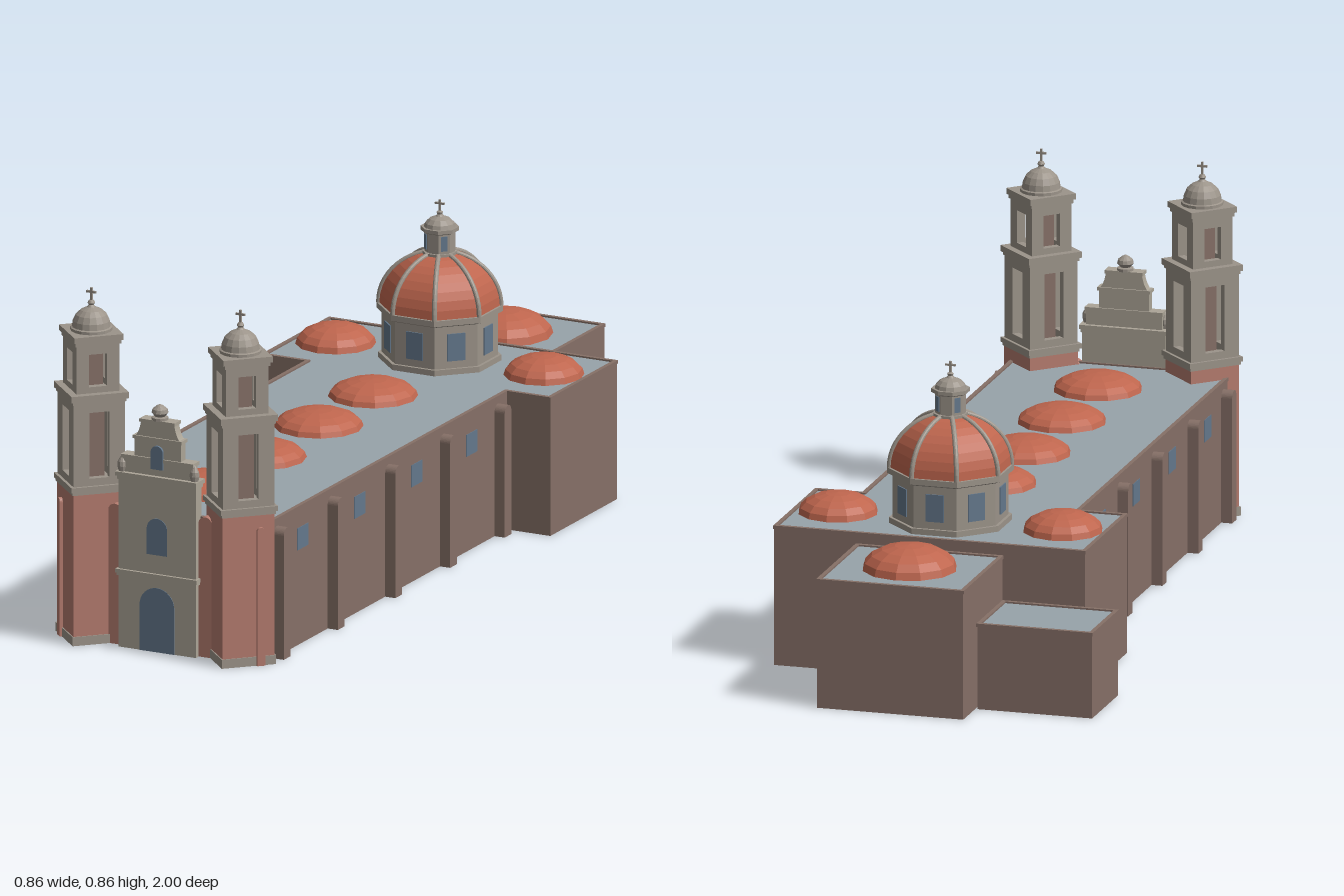
import * as THREE from 'three';

const mat = (name, color, opts = {}) => {
  const m = new THREE.MeshStandardMaterial({ color, ...opts });
  m.name = name;
  return m;
};

export function createModel() {
  const root = new THREE.Group();
  root.name = 'church';
  const church = new THREE.Group();
  church.name = 'building';
  church.position.x = 0.0425; // the nave axis lies off centre because of the annex
  root.add(church);

  const flat = { flatShading: true };
  const brown = mat('brown wall', 0x867067);
  const red = mat('red tower wall', 0xb57c6f, flat);
  const stone = mat('grey stone', 0x9c948a, flat);
  const pale = mat('pale facade stone', 0xaca597);
  const tile = mat('terracotta dome', 0xbf664e, flat);
  const roofGrey = mat('roof grey', 0x98a3aa, { side: THREE.DoubleSide });
  const blue = mat('blue window', 0x64788c);

  const add = (parent, name, geo, m, x = 0, y = 0, z = 0) => {
    const mesh = new THREE.Mesh(geo, m);
    mesh.name = name;
    mesh.position.set(x, y, z);
    parent.add(mesh);
    return mesh;
  };
  const group = (name, parent, x = 0, y = 0, z = 0) => {
    const g = new THREE.Group();
    g.name = name;
    g.position.set(x, y, z);
    parent.add(g);
    return g;
  };
  // box given by its base height and top height
  const block = (parent, name, m, w, y0, y1, d, x = 0, z = 0) =>
    add(parent, name, new THREE.BoxGeometry(w, y1 - y0, d), m, x, (y0 + y1) / 2, z);
  // plan outline, turned counter-clockwise
  const poly = pts => new THREE.Shape(pts.map(([x, z]) => new THREE.Vector2(x, -z)).reverse());
  const extrude = (shape, depth) =>
    new THREE.ExtrudeGeometry(shape, { depth, bevelEnabled: false, curveSegments: 8 });
  // thin walls, open below, around an outline that can be inset by t
  const walls = (parent, name, m, outline, y0, y1, out = 0, t = 0.008) => {
    const s = poly(outline(-out));
    s.holes.push(poly(outline(t)));
    return add(parent, name, extrude(s, y1 - y0).rotateX(-Math.PI / 2), m, 0, y0, 0);
  };
  const roof = (parent, name, outline, y) =>
    add(parent, name, new THREE.ShapeGeometry(poly(outline(0.004))).rotateX(-Math.PI / 2), roofGrey, 0, y, 0);
  const rect = (x0, x1, z0, z1) => t =>
    [[x0 + t, z0 + t], [x1 - t, z0 + t], [x1 - t, z1 - t], [x0 + t, z1 - t]];
  // round-headed upright, facing +z, from its foot
  const arch = (w, h, depth) => {
    const s = new THREE.Shape();
    s.moveTo(-w / 2, 0);
    s.lineTo(w / 2, 0);
    s.lineTo(w / 2, h - w / 2);
    s.absarc(0, h - w / 2, w / 2, 0, Math.PI, false);
    s.closePath();
    return extrude(s, depth);
  };
  const lathe = (pts, n = 16) => new THREE.LatheGeometry(pts.map(p => new THREE.Vector2(...p)), n);
  const cross = (parent, y, h) => {
    block(parent, 'crossPost', stone, 0.005, y, y + h, 0.005);
    block(parent, 'crossArm', stone, 0.025, y + h * 0.62, y + h * 0.77, 0.005);
  };

  // Nave with transept, apse and annex, each with a coping
  const nx = 0.267, tx = 0.383;
  const cruciform = t => [
    [-tx + t, -0.67 + t], [tx - t, -0.67 + t], [tx - t, -0.33 - t], [nx - t, -0.33 - t],
    [nx - t, 0.913 - t], [-nx + t, 0.913 - t], [-nx + t, -0.33 - t], [-tx + t, -0.33 - t]];
  const rooms = [['nave', cruciform, 0.342], ['apse', rect(-0.182, 0.178, -0.998, -0.677), 0.316],
    ['annex', rect(-0.47, -0.187, -0.9, -0.69), 0.21]];
  for (const [name, outline, h] of rooms) {
    walls(church, name + 'Walls', brown, outline, 0, h - 0.008);
    walls(church, name + 'Coping', brown, outline, h - 0.008, h, 0.002);
    roof(church, name + 'Roof', outline, h - 0.004);
  }

  // Shallow roof domes
  const capDome = (x, z, r, y, h) => add(church, 'roofDome',
    new THREE.SphereGeometry(r, 12, 5, 0, Math.PI * 2, 0, Math.PI / 2).scale(1, h / r, 1), tile, x, y, z);
  for (const z of [-0.16, 0.118, 0.407, 0.7]) capDome(0, z, 0.107, 0.337, 0.043);
  for (const s of [-1, 1]) capDome(s * 0.277, -0.5, 0.096, 0.337, 0.05);
  capDome(0, -0.833, 0.114, 0.311, 0.06);

  // Buttresses and side windows
  for (const s of [-1, 1]) {
    for (const z of [0.84, 0.565, 0.272, -0.007, -0.285])
      add(church, 'buttress', arch(0.034, 0.322, 0.027), brown, s * nx, 0, z).rotation.y = s * Math.PI / 2;
    for (const z of [0.71, 0.42, 0.13, -0.15])
      block(church, 'sideWindow', blue, 0.003, 0.234, 0.288, 0.056, s * nx, z);
  }

  // Octagonal crossing dome with drum, ribs and lantern
  const dome = group('crossingDome', church, 0, 0, -0.5);
  const oct = (name, m, pts) => add(dome, name, lathe(pts, 8).rotateY(Math.PI / 8), m);
  oct('drum', stone, [[0.146, 0.337], [0.146, 0.352], [0.138, 0.352], [0.138, 0.455],
    [0.15, 0.46], [0.15, 0.474], [0.13, 0.476]]);
  const curve = a => [0.145 * Math.cos(a), 0.474 + 0.131 * Math.sin(a)];
  const arc = Array.from({ length: 9 }, (_, i) => curve(i / 8 * 1.33));
  oct('domeShell', tile, arc);
  oct('lantern', stone, [[0.043, 0.592], [0.043, 0.605], [0.037, 0.605], [0.037, 0.652],
    [0.046, 0.656], [0.046, 0.665], [0, 0.665]]);
  add(dome, 'lanternCap', lathe([[0.038, 0.664], [0.035, 0.674], [0.025, 0.684], [0.01, 0.69],
    [0.006, 0.695], [0.008, 0.7], [0, 0.705]], 12), stone);
  cross(dome, 0.7, 0.03);
  const ribPath = new THREE.CatmullRomCurve3(arc.map(([r, y]) => new THREE.Vector3(0, y, r)));
  for (let i = 0; i < 8; i++) {
    add(dome, 'rib', new THREE.TubeGeometry(ribPath, 12, 0.006, 12), stone)
      .rotation.y = (i + 0.5) * Math.PI / 4;
    const side = group('drumSide', dome);
    side.rotation.y = i * Math.PI / 4;
    const c = Math.cos(Math.PI / 8);
    block(side, 'drumWindow', blue, 0.044, 0.37, 0.437, 0.006, 0, 0.138 * c);
    if (i % 2) block(side, 'lanternWindow', blue, 0.016, 0.612, 0.648, 0.004, 0, 0.037 * c);
  }

  // Bell towers, set diagonally
  const R2 = Math.SQRT2;
  const makeTower = s => {
    const tower = group(s < 0 ? 'rightTower' : 'leftTower', church, s * 0.1985, 0, 0.895);
    const body = group('towerBody', tower);
    body.rotation.y = Math.PI / 4;
    const square = d => rect(-d / R2, d / R2, -d / R2, d / R2);
    walls(body, 'towerFoot', stone, square(0.095), 0, 0.022);
    walls(body, 'towerShaft', red, square(0.091), 0.02, 0.372);
    const slab = (name, d, y0, y1) => block(body, name, stone, d * R2, y0, y1, d * R2);
    slab('shaftCornice', 0.095, 0.37, 0.378);
    slab('shaftCornice', 0.1, 0.378, 0.39);
    slab('belfryCornice', 0.094, 0.592, 0.6);
    slab('belfryCornice', 0.1, 0.6, 0.615);
    slab('upperCornice', 0.08, 0.732, 0.742);
    slab('upperCornice', 0.086, 0.742, 0.756);
    // pierced walls of the two belfry storeys around a brown core
    const storey = (name, d, y0, y1, w, o0, o1) => {
      const side = d * R2, t = 0.017;
      const p = new THREE.Shape([[-side / 2, y0], [side / 2, y0], [side / 2, y1], [-side / 2, y1]]
        .map(v => new THREE.Vector2(...v)));
      p.holes.push(new THREE.Path([[-w / 2, o0], [-w / 2, o1], [w / 2, o1], [w / 2, o0]]
        .map(v => new THREE.Vector2(...v))));
      const geo = extrude(p, t).translate(0, 0, side / 2 - t);
      for (let i = 0; i < 4; i++) add(body, name, geo, stone).rotation.y = i * Math.PI / 2;
      block(body, name + 'Core', brown, w, y0, y1, w);
    };
    storey('lowerBelfry', 0.09, 0.388, 0.594, 0.05, 0.408, 0.57);
    storey('upperBelfry', 0.075, 0.613, 0.734, 0.044, 0.63, 0.71);
    add(tower, 'towerDome', lathe([[0.05, 0.755], [0.05, 0.763], [0.046, 0.765], [0.044, 0.779], [0.037, 0.794],
      [0.025, 0.805], [0.01, 0.812], [0.006, 0.817], [0.009, 0.822], [0.006, 0.828], [0, 0.83]]), stone);
    cross(tower, 0.825, 0.034);
    // narrow strip on the outer front face
    const strip = add(tower, 'towerStrip', arch(0.02, 0.34, 0.008), red, s * 0.066, 0, 0.025);
    strip.rotation.y = s * Math.PI / 4;
    // red upright between tower and facade
    add(church, 'facadeFlank', arch(0.036, 0.345, 0.03), red, s * 0.12, 0, 0.895);
  };
  for (const s of [-1, 1]) makeTower(s);

  // Facade with stepped gable
  const facade = group('facade', church, 0, 0, 0.925);
  block(facade, 'facadeWall', pale, 0.206, 0, 0.418, 0.03);
  block(facade, 'stringCourse', pale, 0.212, 0.177, 0.183, 0.038);
  block(facade, 'stringCourse', pale, 0.216, 0.183, 0.193, 0.044);
  block(facade, 'facadeCornice', pale, 0.21, 0.414, 0.423, 0.038);
  block(facade, 'facadeCornice', pale, 0.216, 0.423, 0.433, 0.046);
  const gable = new THREE.Shape();
  gable.moveTo(-0.094, 0.43);
  gable.lineTo(0.094, 0.43);
  gable.lineTo(0.094, 0.47);
  gable.lineTo(0.062, 0.475);
  gable.lineTo(0.062, 0.522);
  gable.quadraticCurveTo(0.048, 0.535, 0.044, 0.566);
  gable.lineTo(-0.044, 0.566);
  gable.quadraticCurveTo(-0.048, 0.535, -0.062, 0.522);
  gable.lineTo(-0.062, 0.475);
  gable.lineTo(-0.094, 0.47);
  gable.closePath();
  add(facade, 'gable', extrude(gable, 0.024), pale, 0, 0, -0.012);
  block(facade, 'gableLedge', pale, 0.192, 0.467, 0.476, 0.032);
  block(facade, 'gableLedge', pale, 0.13, 0.519, 0.527, 0.032);
  block(facade, 'gableLedge', pale, 0.094, 0.562, 0.57, 0.032);
  add(facade, 'gableFinial', lathe([[0.02, 0.569], [0.02, 0.576], [0.012, 0.578], [0.02, 0.587],
    [0.018, 0.596], [0.008, 0.604], [0, 0.608]], 12), stone);
  for (const s of [-1, 1])
    add(facade, 'urn', lathe([[0.009, 0.432], [0.012, 0.445], [0.011, 0.456],
      [0.005, 0.467], [0, 0.474]], 10), stone, s * 0.096, 0, 0.008);
  add(facade, 'door', arch(0.092, 0.158, 0.004), blue, 0, 0, 0.0125);
  add(facade, 'facadeWindow', arch(0.054, 0.09, 0.004), blue, 0, 0.239, 0.0125);
  // tall enough in depth to stand clear of the ledge in front of the gable
  add(facade, 'gableWindow', arch(0.032, 0.058, 0.008), blue, 0, 0.45, 0.0095);

  return root;
}
